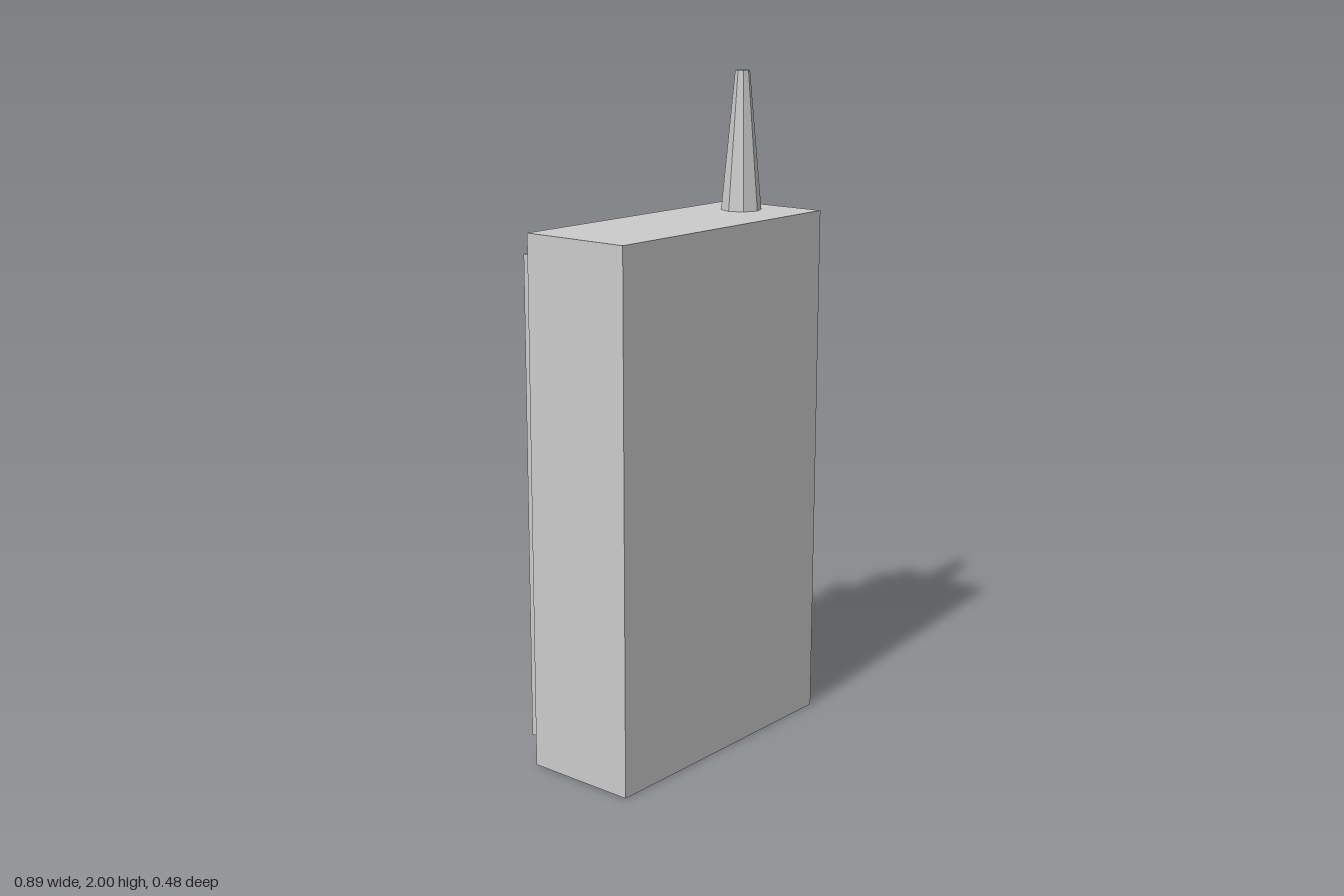
import * as THREE from 'three';

const material = new THREE.MeshStandardMaterial({ color: 0xcccccc, flatShading: true });

function part(name, geometry, x, y, z) {
  const mesh = new THREE.Mesh(geometry, material);
  mesh.name = name;
  mesh.position.set(x, y, z);
  return mesh;
}

export function createModel() {
  const model = new THREE.Group();
  model.name = 'handheldRadio';

  const W = 0.894, H = 1.587, midY = H / 2;
  const front = 0.237, back = -0.115, bevelBack = -0.13, plateBack = -0.168;
  const plateW = 0.816, plateH = 1.45;

  // Main case
  model.add(part('case', new THREE.BoxGeometry(W, H, front - back), 0, midY, (front + back) / 2));

  // Sloped rim: a thin box whose rear face shrinks to the plate outline
  const rim = new THREE.BoxGeometry(W, H, back - bevelBack);
  const p = rim.attributes.position;
  for (let i = 0; i < p.count; i++) {
    if (p.getZ(i) < 0) p.setXY(i, Math.sign(p.getX(i)) * plateW / 2, Math.sign(p.getY(i)) * plateH / 2);
  }
  rim.computeVertexNormals();
  model.add(part('caseRim', rim, 0, midY, (back + bevelBack) / 2));

  // Raised back plate
  model.add(part('backPlate', new THREE.BoxGeometry(plateW, plateH, bevelBack - plateBack),
    0, midY, (bevelBack + plateBack) / 2));

  // Two rows of octagonal knobs with a recessed centre
  const profile = [[0.0655, 0], [0.0655, 0.071], [0.036, 0.071], [0.036, 0.03], [0, 0.03]]
    .map(([r, h]) => new THREE.Vector2(r, h));
  const knobGeometry = new THREE.LatheGeometry(profile, 8);
  knobGeometry.rotateX(-Math.PI / 2);
  const knobs = new THREE.Group();
  knobs.name = 'knobs';
  for (const y of [1.3, 0.775]) {
    for (let i = 0; i < 4; i++) {
      knobs.add(part('knob', knobGeometry, -0.264 + i * 0.1875, y, plateBack));
    }
  }
  model.add(knobs);

  // Tapered antenna
  const antennaH = 2 - H;
  model.add(part('antenna', new THREE.CylinderGeometry(0.022, 0.061, antennaH, 8),
    0.313, H + antennaH / 2, 0.041));

  return model;
}
